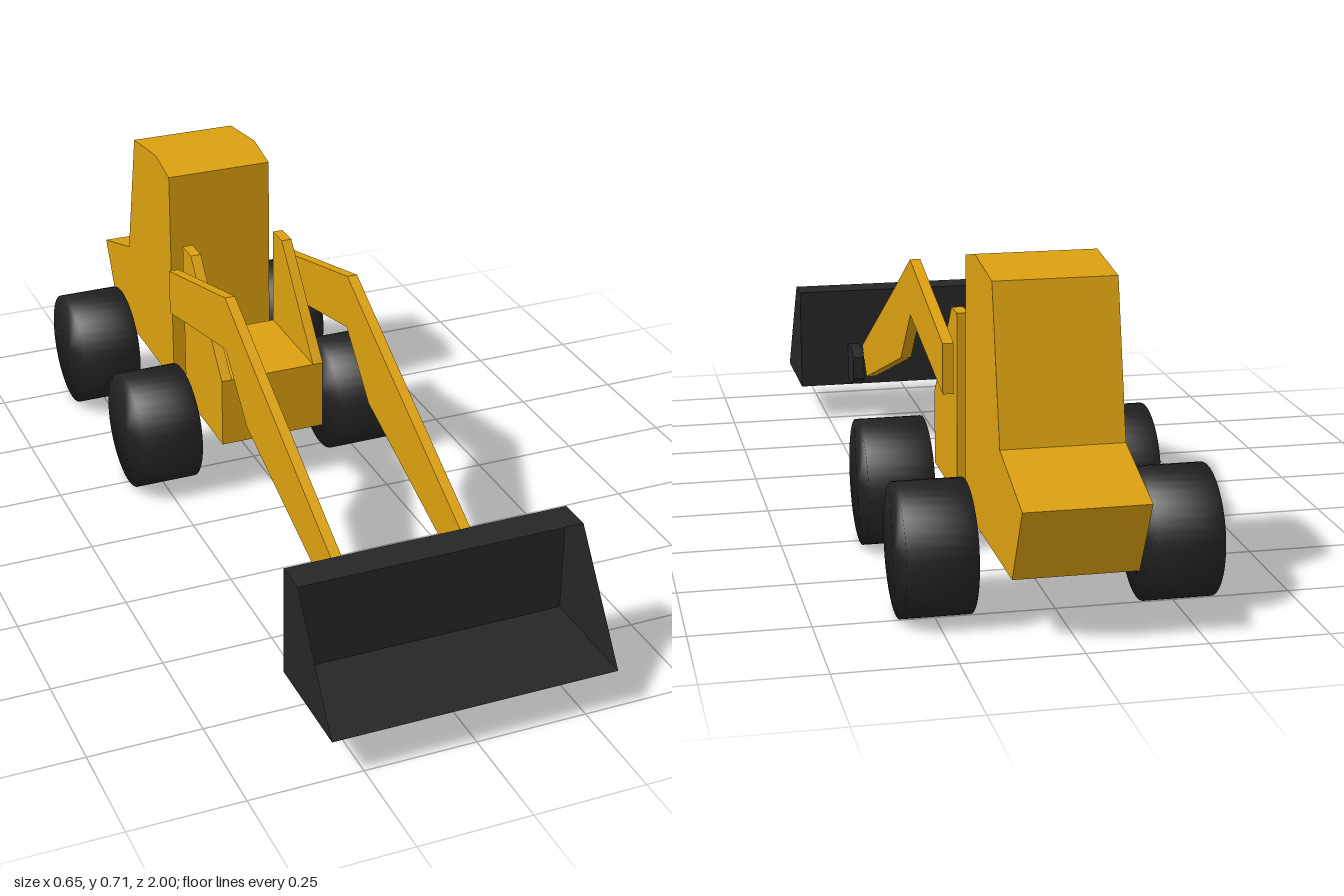
import * as THREE from 'three';
import { mergeVertices } from 'three/addons/utils/BufferGeometryUtils.js';

const yellow = new THREE.MeshStandardMaterial({ color: 0xdba010, flatShading: true });
const black = new THREE.MeshStandardMaterial({ color: 0x262626, flatShading: true });
const steel = new THREE.MeshStandardMaterial({ color: 0x262626, flatShading: true, side: THREE.DoubleSide });
const rubber = new THREE.MeshStandardMaterial({ color: 0x222222 });

// Side profile of [z, y] points, extruded across x from x0 to x1
function slab(name, profile, x0, x1, material) {
  const shape = new THREE.Shape(profile.map(([z, y]) => new THREE.Vector2(z, y)));
  const geometry = new THREE.ExtrudeGeometry(shape, { depth: x1 - x0, bevelEnabled: false });
  geometry.rotateY(-Math.PI / 2).translate(x1, 0, 0);
  const mesh = new THREE.Mesh(geometry, material);
  mesh.name = name;
  return mesh;
}

// Open sheet-metal bucket: floor, back and top strips plus two side cheeks
function makeBucket(halfWidth) {
  const p = [[1, 0.09], [0.745, 0.09], [0.745, 0.343], [0.82, 0.343]];
  const positions = [];
  const index = [];
  for (const x of [-halfWidth, halfWidth]) for (const [z, y] of p) positions.push(x, y, z);
  for (let i = 0; i < 3; i++) index.push(i, i + 1, i + 5, i, i + 5, i + 4);
  for (const o of [0, 4]) index.push(o, o + 1, o + 2, o, o + 2, o + 3);
  const geometry = new THREE.BufferGeometry();
  geometry.setAttribute('position', new THREE.Float32BufferAttribute(positions, 3));
  geometry.setIndex(index);
  const flat = geometry.toNonIndexed();
  flat.computeVertexNormals();
  const mesh = new THREE.Mesh(flat, steel);
  mesh.name = 'bucket';
  return mesh;
}

export function createModel() {
  const model = new THREE.Group();
  model.name = 'wheeledDigger';

  // Cab with sloping rear engine cover
  model.add(slab('cab', [
    [-0.465, 0.13], [-0.465, 0.685], [-0.56, 0.706], [-0.725, 0.685],
    [-0.8, 0.36], [-1, 0.295], [-0.915, 0.13],
  ], -0.13, 0.128, yellow));

  // Front chassis block
  model.add(slab('frontChassis', [
    [-0.12, 0.13], [-0.12, 0.3], [-0.378, 0.3], [-0.378, 0.13],
  ], -0.104, 0.104, yellow));

  // Wheels share one softly shaded drum
  let drum = new THREE.CylinderGeometry(0.139, 0.139, 0.146, 40).rotateZ(Math.PI / 2);
  drum.deleteAttribute('uv');
  drum.deleteAttribute('normal');
  drum = mergeVertices(drum);
  drum.computeVertexNormals();

  for (const [side, s] of [['left', 1], ['right', -1]]) {
    // Mirrors an x range onto the chosen side
    const part = (name, profile, a, b, material) =>
      model.add(slab(side + name, profile, Math.min(s * a, s * b), Math.max(s * a, s * b), material));

    // Tower plate on the chassis flank
    part('TowerPlate', [
      [-0.12, 0.13], [-0.12, 0.3], [-0.32, 0.54], [-0.378, 0.54], [-0.378, 0.13],
    ], 0.104, 0.129, yellow);

    // Bent lifting arm
    part('LiftArm', [
      [-0.388, 0.365], [-0.388, 0.477], [0, 0.58], [0.195, 0.475], [0.72, 0.2],
      [0.655, 0.132], [0.13, 0.315], [0, 0.45],
    ], 0.138, 0.162, yellow);

    // Bucket bracket
    part('BucketBracket', [
      [0.745, 0.108], [0.745, 0.2], [0.685, 0.2], [0.655, 0.185], [0.655, 0.128], [0.68, 0.108],
    ], 0.168, 0.196, black);

    for (const [end, z] of [['Front', -0.257], ['Rear', -0.72]]) {
      const wheel = new THREE.Mesh(drum, rubber);
      wheel.name = side + end + 'Wheel';
      wheel.position.set(s * 0.253, 0.139, z);
      model.add(wheel);
    }
  }

  model.add(makeBucket(0.32));
  return model;
}
